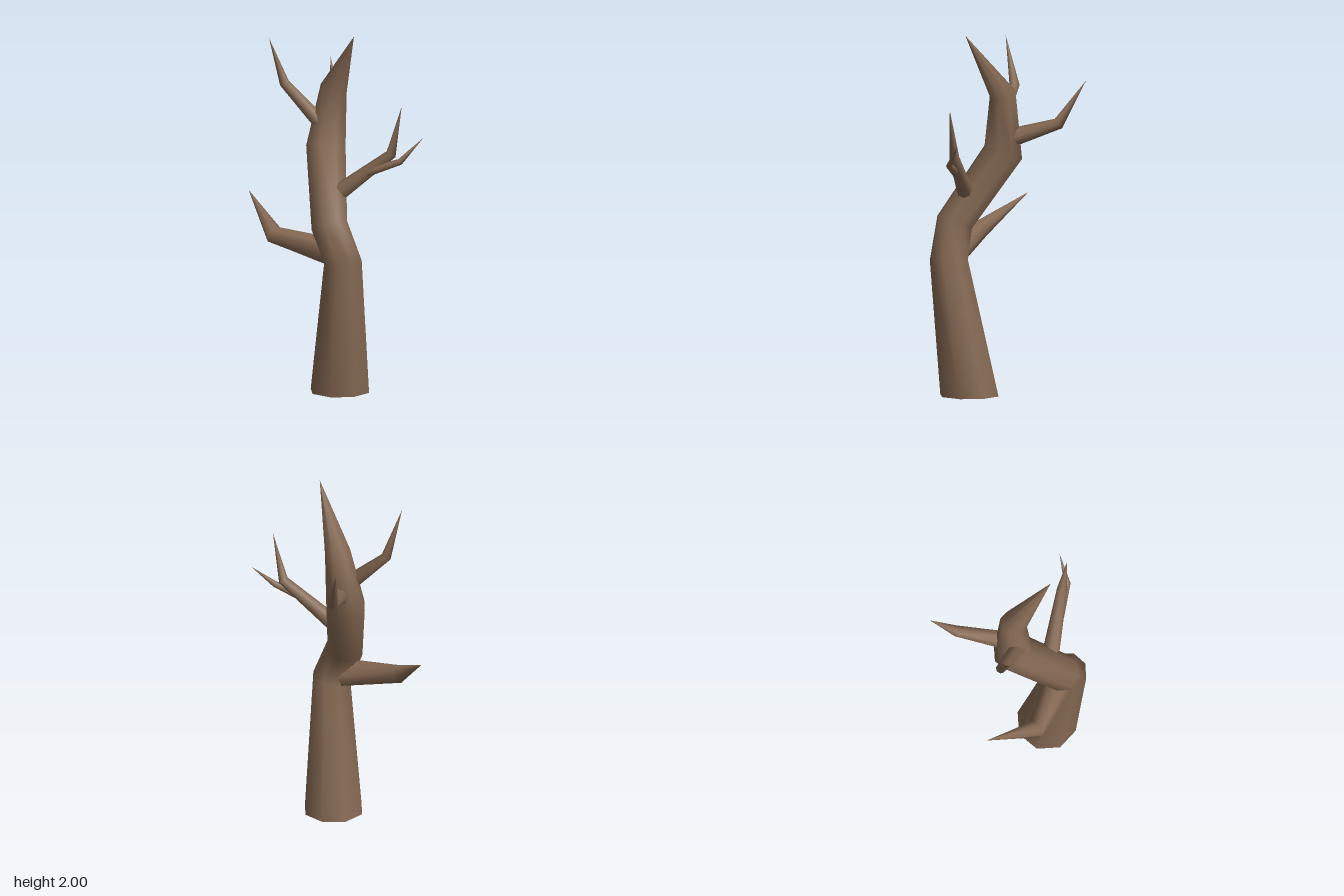
import * as THREE from 'three';

const SIDES = 8;

// Tapered limb skinned over rings [x, y, z, radius]; a radius of 0 makes a point.
function limbGeometry(rings, ref, start) {
  const pts = rings.map(([x, y, z]) => new THREE.Vector3(x, y, z));
  const dirs = pts.slice(1).map((p, i) => p.clone().sub(pts[i]).normalize());
  const pos = [], index = [];
  const last = rings.length - 1;

  // Each ring lies across the bend between its two neighbouring segments.
  rings.forEach((ring, i) => {
    let t;
    if (i === 0) t = start ? start.clone() : dirs[0].clone();
    else if (i === last) t = dirs[last - 1].clone();
    else t = dirs[i - 1].clone().add(dirs[i]).normalize();
    const u = ref.clone().addScaledVector(t, -ref.dot(t)).normalize();
    const w = t.clone().cross(u);
    for (let j = 0; j < SIDES; j++) {
      const a = (j / SIDES) * Math.PI * 2;
      const p = pts[i].clone()
        .addScaledVector(u, Math.cos(a) * ring[3])
        .addScaledVector(w, Math.sin(a) * ring[3]);
      pos.push(p.x, p.y, p.z);
    }
  });
  for (let i = 0; i < last; i++) {
    for (let j = 0; j < SIDES; j++) {
      const k = (j + 1) % SIDES;
      const a = i * SIDES + j, b = i * SIDES + k;
      const c = a + SIDES, d = b + SIDES;
      index.push(a, b, c);
      if (rings[i + 1][3] > 0) index.push(b, d, c);
    }
  }

  // Flat cap on the cut end, with its own vertices for a sharp rim.
  const base = pos.length / 3;
  pos.push(...pos.slice(0, SIDES * 3), pts[0].x, pts[0].y, pts[0].z);
  for (let j = 0; j < SIDES; j++) {
    index.push(base + SIDES, base + (j + 1) % SIDES, base + j);
  }

  const geo = new THREE.BufferGeometry();
  geo.setAttribute('position', new THREE.Float32BufferAttribute(pos, 3));
  geo.setIndex(index);
  geo.computeVertexNormals();
  return geo;
}

export function createModel() {
  const group = new THREE.Group();
  group.name = 'bareTree';
  const bark = new THREE.MeshStandardMaterial({ color: 0x846852 });
  bark.name = 'barkBrown';

  const X = new THREE.Vector3(1, 0, 0);
  const Y = new THREE.Vector3(0, 1, 0);

  const addLimb = (name, rings, ref, start) => {
    const mesh = new THREE.Mesh(limbGeometry(rings, ref, start), bark);
    mesh.name = name;
    group.add(mesh);
  };

  // Leaning trunk ending in a splintered point
  addLimb('trunk', [
    [0.055, 0, 0.188, 0.168],
    [0.105, 0.75, 0.29, 0.11],
    [0.025, 0.95, 0.283, 0.104],
    [-0.075, 1.335, 0.035, 0.113],
    [-0.033, 1.66, 0.025, 0.076],
    [0.135, 2.0, 0.185, 0],
  ], X, Y);

  // Bent branches, each from root to elbow to tip
  addLimb('lowBranch', [
    [0.03, 0.802, 0.275, 0.08],
    [-0.305, 0.866, 0.247, 0.052],
    [-0.52, 1.055, 0.035, 0],
  ], Y);
  addLimb('upperRightBranch', [
    [-0.1, 1.478, 0.072, 0.043],
    [-0.31, 1.675, 0.047, 0.028],
    [-0.375, 1.94, 0.12, 0],
  ], Y);
  addLimb('backBranch', [
    [-0.06, 1.42, -0.02, 0.052],
    [-0.12, 1.5, -0.268, 0.033],
    [-0.19, 1.735, -0.405, 0],
  ], Y);
  addLimb('leftBranch', [
    [0.07, 1.133, 0.21, 0.046],
    [0.347, 1.352, 0.179, 0.029],
    [0.41, 1.625, 0.185, 0],
  ], Y);
  addLimb('leftTwig', [
    [0.22, 1.248, 0.205, 0.026],
    [0.402, 1.315, 0.19, 0.018],
    [0.51, 1.44, 0.108, 0],
  ], Y);

  return group;
}
